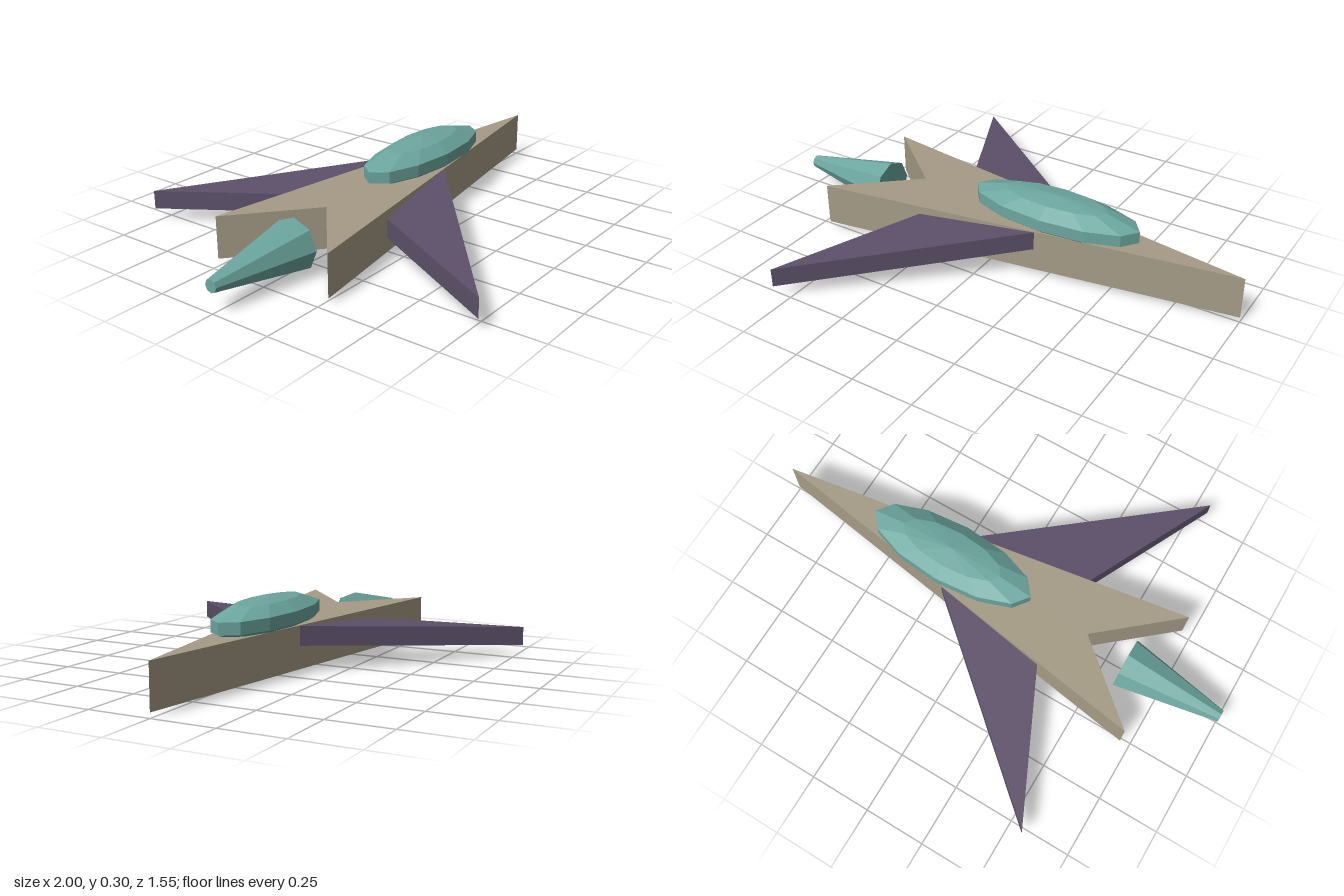
import * as THREE from 'three';

const paint = (color) => new THREE.MeshStandardMaterial({ color, flatShading: true });

// Vertical-sided slab from a plan outline of [x, z] points, standing on y = 0
function slab(outline, height) {
  const shape = new THREE.Shape(outline.map(([x, z]) => new THREE.Vector2(x, -z)));
  const geometry = new THREE.ExtrudeGeometry(shape, { depth: height, bevelEnabled: false });
  return geometry.rotateX(-Math.PI / 2);
}

function addPart(group, name, geometry, material) {
  const mesh = new THREE.Mesh(geometry, material);
  mesh.name = name;
  group.add(mesh);
  return mesh;
}

export function createModel() {
  const ship = new THREE.Group();
  ship.name = 'arrowShip';
  const hullPaint = paint(0xa59b86);
  const wingPaint = paint(0x5c5069);
  const tealPaint = paint(0x6ca69f);

  // Arrowhead hull with a notched tail, nose towards +x
  const hull = slab([[1, 0], [-0.71, 0.265], [-0.4, 0], [-0.71, -0.265]], 0.17);
  addPart(ship, 'hull', hull, hullPaint).position.y = 0.02;

  // Swept wings, drooping towards tip and tail
  for (const side of [1, -1]) {
    const outline = [[0.21, 0.113], [-0.56, 0.775], [-0.26, 0.136]];
    const wing = slab(outline.map(([x, z]) => [x, z * side]), 0.076);
    const p = wing.attributes.position;
    for (let i = 0; i < p.count; i++) {
      const droop = 0.0595 * p.getX(i) - 0.035 * Math.abs(p.getZ(i));
      p.setY(i, p.getY(i) + 0.104 + droop);
    }
    wing.computeVertexNormals();
    addPart(ship, side > 0 ? 'frontWing' : 'backWing', wing, wingPaint);
  }

  // Faceted canopy
  const canopy = addPart(ship, 'canopy', new THREE.SphereGeometry(1, 12, 5), tealPaint);
  canopy.scale.set(0.379, 0.076, 0.132);
  canopy.position.set(0.22, 0.225, 0);

  // Tapered engine behind the tail notch, narrow end aft
  const engine = new THREE.CylinderGeometry(0.026, 0.105, 0.42, 8).rotateZ(Math.PI / 2);
  addPart(ship, 'engine', engine, tealPaint).position.set(-0.79, 0.105, 0);

  return ship;
}
